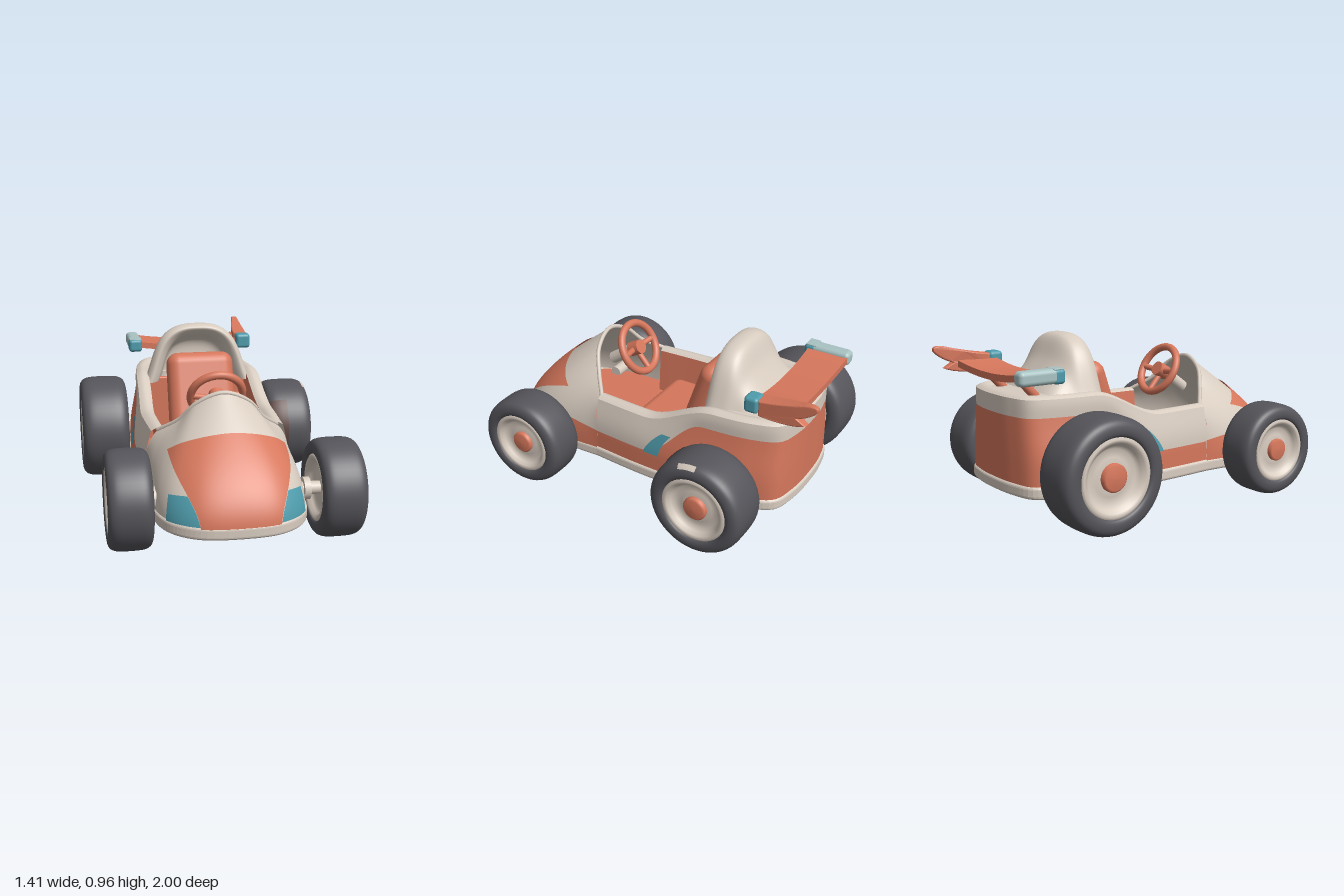
import * as THREE from 'three';
import { ParametricGeometry } from 'three/addons/geometries/ParametricGeometry.js';
import { RoundedBoxGeometry } from 'three/addons/geometries/RoundedBoxGeometry.js';

const V3 = (x, y, z) => new THREE.Vector3(x, y, z);
const { lerp, smoothstep } = THREE.MathUtils;

export function createModel() {
  const kart = new THREE.Group();
  kart.name = 'kart';
  const mat = (name, color) => {
    const m = new THREE.MeshStandardMaterial({ color, side: THREE.DoubleSide });
    m.name = name;
    return m;
  };
  const cream = mat('cream', 0xd8ccc0), orange = mat('orange', 0xd6775c), teal = mat('teal', 0x4f9cac);
  const pale = mat('paleTeal', 0xa9c2c2), rubber = mat('rubber', 0x55545a), brown = mat('brownScuff', 0x5c433e);

  const add = (name, geo, m, x = 0, y = 0, z = 0, parent = kart) => {
    const mesh = new THREE.Mesh(geo, m);
    mesh.name = name;
    mesh.position.set(x, y, z);
    parent.add(mesh);
    return mesh;
  };
  // smooth surface from a function of (u, v) in 0..1; u runs right and v up as seen from outside
  const patch = (name, fn, nu, nv, m, side = 1) => {
    const g = new ParametricGeometry((u, v, t) => t.copy(fn(side > 0 ? u : 1 - u, v)), nu, nv);
    g.computeVertexNormals();
    return add(name, g, m);
  };
  const box = (w, h, d, r) => new RoundedBoxGeometry(w, h, d, 4, r);
  const rod = (name, a, b, r, m, parent = kart) => {
    const d = b.clone().sub(a);
    const mesh = add(name, new THREE.CylinderGeometry(r, r, d.length(), 20), m, 0, 0, 0, parent);
    mesh.position.copy(a).lerp(b, 0.5);
    mesh.quaternion.setFromUnitVectors(V3(0, 1, 0), d.normalize());
    return mesh;
  };
  // curve through points, mirrored about the last one (which lies on x = 0)
  const mirrored = (pts) => {
    const half = pts.map(([x, y, z]) => V3(x, y, z));
    const other = half.slice(0, -1).reverse().map((p) => V3(-p.x, p.y, p.z));
    return new THREE.CatmullRomCurve3([...half, ...other]);
  };
  const nose = mirrored([[0.4, 0, 0.32], [0.405, 0, 0.5], [0.38, 0, 0.76], [0.32, 0, 0.88], [0.2, 0, 0.965], [0, 0, 0.99]]);
  const tail = mirrored([[0.4, 0, 0.32], [0.42, 0, 0], [0.415, 0, -0.4], [0.38, 0, -0.64], [0.315, 0, -0.775], [0.18, 0, -0.818], [0, 0, -0.83]]);
  const cowlEdge = mirrored([[0.33, 0.525, 0.32], [0.225, 0.605, 0.41], [0.14, 0.705, 0.465], [0, 0.762, 0.488]]);

  // base plate and cockpit floor
  const slab = (scale, depth, bevel) => {
    const pts = [...nose.getPoints(60), ...tail.getPoints(60).reverse().slice(1, -1)];
    const shape = new THREE.Shape(pts.map((p) => new THREE.Vector2(p.x * scale, p.z * scale)));
    const g = new THREE.ExtrudeGeometry(shape, {
      depth, bevelEnabled: true, bevelThickness: bevel, bevelSize: bevel, bevelOffset: 0.01 - bevel, bevelSegments: 4,
    });
    return g.rotateX(Math.PI / 2);
  };
  add('basePlate', slab(1, 0.034, 0.018), cream, 0, 0.202, 0);
  add('cockpitFloor', slab(0.88, 0.02, 0.003), orange, 0, 0.25, 0);

  // side and rear walls of the tub
  const seamY = (z) => 0.325 + 0.245 * smoothstep(-z, 0.02, 0.36);
  const topY = (z) => 0.52 + 0.145 * smoothstep(-z, 0, 0.42);
  const wall = (s, y, out = 0) => {
    const p = tail.getPoint(s);
    const k = 1 - 0.11 * smoothstep(y, 0.3, 0.62) + out;
    return V3(p.x * k, y, p.z);
  };
  const rim = (s, v) => {
    const z = tail.getPoint(s).z;
    const p = wall(s, topY(z) + 0.016 * Math.sin(Math.PI * v));
    p.x *= 1 - 0.2 * v;
    p.z += 0.07 * v * smoothstep(-z, 0.5, 0.83);
    return p;
  };
  patch('lowerBody', (s, v) => wall(s, lerp(0.21, seamY(tail.getPoint(s).z), v)), 120, 8, orange);
  patch('upperBody', (s, v) => {
    const z = tail.getPoint(s).z;
    return wall(s, lerp(seamY(z), topY(z), v), 0.012 * Math.sin(Math.PI * v));
  }, 120, 8, cream);
  patch('bodyRim', rim, 120, 8, cream);
  patch('cockpitLining', (s, v) => {
    const p = rim(s, 1);
    return V3(p.x * (1 - 0.08 * v), lerp(p.y, 0.24, v), p.z);
  }, 120, 4, orange);
  patch('rearDeck', (s, v) => rim(lerp(2 / 12, 10 / 12, s), 1).lerp(V3(0, 0.68, -0.45), v), 60, 6, cream);
  add('bulkhead', box(0.64, 0.4, 0.03, 0.01), orange, 0, 0.44, -0.4);

  // hood: curves rise from the nose outline to the cowl edge, u from -1 (right) to 1 (left)
  const hood = (u, v, out = 0) => {
    const b = nose.getPoint((1 - u) / 2), t = cowlEdge.getPoint((1 - u) / 2);
    b.y = 0.21;
    const c1 = V3(b.x, lerp(b.y, t.y, 0.35), b.z - 0.025);
    const c2 = b.clone().lerp(t, 0.58);
    c2.add(V3(c2.x * 0.16, 0.05, 0.02));
    const p = new THREE.CubicBezierCurve3(b, c1, c2, t).getPoint(v);
    return p.add(p.clone().sub(V3(0, 0.3, 0.5)).setLength(out));
  };
  patch('hood', (u, v) => hood(2 * u - 1, v), 120, 36, cream);
  const panelEdge = (v) => 0.2 + 0.42 * Math.pow(v / 0.68, 1.7);
  patch('hoodPanel', (a, b) => {
    const k = 2 * a - 1, v = b * (0.7 - 0.03 * k * k);
    return hood(k * panelEdge(v), v, 0.008);
  }, 80, 36, orange);
  add('cowlRim', new THREE.TubeGeometry(cowlEdge, 48, 0.012, 8), cream);

  for (const side of [1, -1]) {
    patch('headlight', (a, b) => {
      const v = 0.02 + b * 0.25;
      return hood(side * lerp(panelEdge(v), 0.48 - 0.02 * b, a), v, 0.011);
    }, 24, 12, teal, side);
    patch('lowerSidePanel', (a, b) => hood(side * lerp(0.76, 1, a), b * 0.36, 0.006), 16, 8, orange, side);
    patch('sideVent', (u, v) => {
      const z = -0.02 - 0.1 * u * (1 - 0.45 * v) - 0.11 * v * (0.5 + 0.5 * v);
      const p = wall((1 - z / 0.4) / 12, lerp(0.325, 0.465, v), 0.03);
      p.x *= side;
      return p;
    }, 8, 8, teal, side);
  }

  // roll hoop behind the seat: (half width, top height, z) of arches from the recess to the deck
  const hoop = new THREE.CatmullRomCurve3([
    V3(0.01, 0.65, -0.46), V3(0.18, 0.84, -0.46), V3(0.21, 0.905, -0.375), V3(0.25, 0.945, -0.345),
    V3(0.272, 0.962, -0.38), V3(0.268, 0.95, -0.45), V3(0.255, 0.82, -0.525), V3(0.26, 0.665, -0.645),
  ]);
  patch('rollHoop', (u, v) => {
    const s = hoop.getPoint(v), a = (1 - u) * Math.PI, c = Math.cos(a);
    const y = Math.pow(Math.sin(a), 0.75);
    const flare = 1 + 0.18 * (1 - y) ** 3;
    return V3(s.x * flare * Math.sign(c) * Math.pow(Math.abs(c), 0.75), 0.62 + (s.y - 0.62) * y, s.z + 0.02 * (1 - y));
  }, 64, 56, cream);

  // seat
  add('seatCushion', box(0.46, 0.18, 0.3, 0.06), orange, 0, 0.34, 0.02);
  add('seatBack', box(0.4, 0.48, 0.15, 0.07), orange, 0, 0.575, -0.235).rotation.x = -0.33;

  // steering wheel
  const steering = new THREE.Group();
  steering.name = 'steeringWheel';
  steering.position.set(0, 0.695, 0.28);
  steering.rotation.x = 0.5;
  kart.add(steering);
  add('wheelRing', new THREE.TorusGeometry(0.143, 0.022, 14, 40), orange, 0, 0, 0, steering);
  for (const a of [0, Math.PI, -Math.PI / 2]) {
    rod('spoke', V3(0, 0, 0.03), V3(0.14 * Math.cos(a), 0.14 * Math.sin(a), 0), 0.017, orange, steering);
  }
  rod('hub', V3(0, 0, -0.015), V3(0, 0, 0.06), 0.042, orange, steering);
  rod('steeringColumn', V3(0, 0, 0.05), V3(0, -0.02, 0.22), 0.035, cream, steering);

  // rear wing with struts, end caps and tail fin
  const blade = new THREE.BoxGeometry(0.63, 0.036, 0.22, 20, 1, 4);
  const bp = blade.attributes.position;
  for (let i = 0; i < bp.count; i++) {
    const x = bp.getX(i), bend = (x / 0.315) ** 2;
    bp.setY(i, bp.getY(i) + 0.025 * bend);
    bp.setZ(i, bp.getZ(i) * (1 + 0.06 * bend));
  }
  blade.computeVertexNormals();
  add('wingBlade', blade, orange, -0.01, 0.765, -0.755);
  for (const x of [-0.17, 0.17]) rod('wingStrut', V3(x, 0.64, -0.65), V3(x, 0.765, -0.77), 0.024, orange);
  add('rightWingCap', box(0.08, 0.078, 0.23, 0.025), pale, -0.35, 0.79, -0.765);
  add('rightCapFront', box(0.082, 0.078, 0.07, 0.02), teal, -0.35, 0.787, -0.65);
  add('rightCapTop', box(0.074, 0.008, 0.06, 0.003), pale, -0.35, 0.826, -0.655);
  add('leftWingCap', box(0.09, 0.09, 0.08, 0.02), teal, 0.335, 0.797, -0.64);
  const finShape = new THREE.Shape();
  finShape.moveTo(-0.68, 0.745);
  finShape.lineTo(-0.68, 0.835);
  finShape.quadraticCurveTo(-0.8, 0.85, -0.93, 0.885);
  finShape.quadraticCurveTo(-1.01, 0.9, -0.995, 0.86);
  finShape.quadraticCurveTo(-0.96, 0.82, -0.89, 0.795);
  finShape.lineTo(-0.94, 0.765);
  finShape.quadraticCurveTo(-0.86, 0.73, -0.68, 0.745);
  const fin = new THREE.ExtrudeGeometry(finShape, {
    depth: 0.06, bevelSize: 0.008, bevelThickness: 0.012, bevelOffset: -0.008, bevelSegments: 3, curveSegments: 8,
  });
  fin.rotateY(-Math.PI / 2); // depth now runs along -x, the drawn axis along z
  const fp = fin.attributes.position;
  for (let i = 0; i < fp.count; i++) {
    const k = smoothstep(-fp.getZ(i), 0.72, 1.05);
    fp.setX(i, lerp(fp.getX(i) + 0.36, 0.358, k * 0.7));
  }
  fin.computeVertexNormals();
  add('tailFin', fin, orange);

  // wheels: lathed tyre, dished rim and hub, turned onto the x axis
  const wheel = (name, x, y, z, r, width) => {
    const g = new THREE.Group(), h = width / 2, dir = Math.sign(x);
    g.name = name;
    g.position.set(x, y, z);
    g.rotation.z = -Math.PI / 2;
    kart.add(g);
    const scaled = (pts) => pts.map(([a, b]) => new THREE.Vector2(a * r, b * h));
    const both = (pts) => scaled([...pts.map(([a, b]) => [a, -b]), ...pts.slice().reverse()]);
    const tyre = new THREE.SplineCurve(both([[0.66, 0.8], [0.7, 0.95], [0.79, 1], [0.9, 0.94], [0.97, 0.76], [1, 0.4]]));
    add('tyre', new THREE.LatheGeometry(tyre.getPoints(44), 56), rubber, 0, 0, 0, g);
    const rimPts = both([[0, 0.66], [0.28, 0.66], [0.33, 0.6], [0.47, 0.6], [0.53, 0.74], [0.58, 0.9], [0.64, 0.95], [0.7, 0.86]]);
    add('rim', new THREE.LatheGeometry(rimPts, 56), cream, 0, 0, 0, g);
    const cap = scaled([[0.24, 0.6], [0.24, 0.8], [0.2, 0.88], [0, 0.9]]);
    const hub = add('hubCap', new THREE.LatheGeometry(cap, 32), orange, 0, 0, 0, g);
    if (dir < 0) hub.rotation.x = Math.PI;
    rod('axle', V3(dir * 0.28, y, z), V3(x, y, z), 0.035, cream);
    rod('axleCollar', V3(dir * 0.39, y, z), V3(dir * 0.425, y, z), 0.06, cream);
    // thin worn patch laid over part of the tread
    return (label, pts, start, length, m) =>
      add(label, new THREE.LatheGeometry(scaled(pts), 20, start, length), m, 0, 0, 0, g);
  };
  wheel('frontLeftWheel', 0.56, 0.27, 0.66, 0.262, 0.235);
  wheel('frontRightWheel', -0.53, 0.27, 0.66, 0.262, 0.23);
  wheel('rearRightWheel', -0.57, 0.308, -0.525, 0.308, 0.28);
  const scuff = wheel('rearLeftWheel', 0.568, 0.282, -0.495, 0.276, 0.27);
  scuff('creamScuff', [[0.985, 0.78], [0.953, 0.88], [0.91, 0.96]], 4.67, 0.4, cream);
  scuff('brownScuff', [[0.8, -1.02], [0.91, -0.97], [0.985, -0.78], [1.014, -0.4], [1.018, -0.15]], -0.8, 1.1, brown);

  return kart;
}
